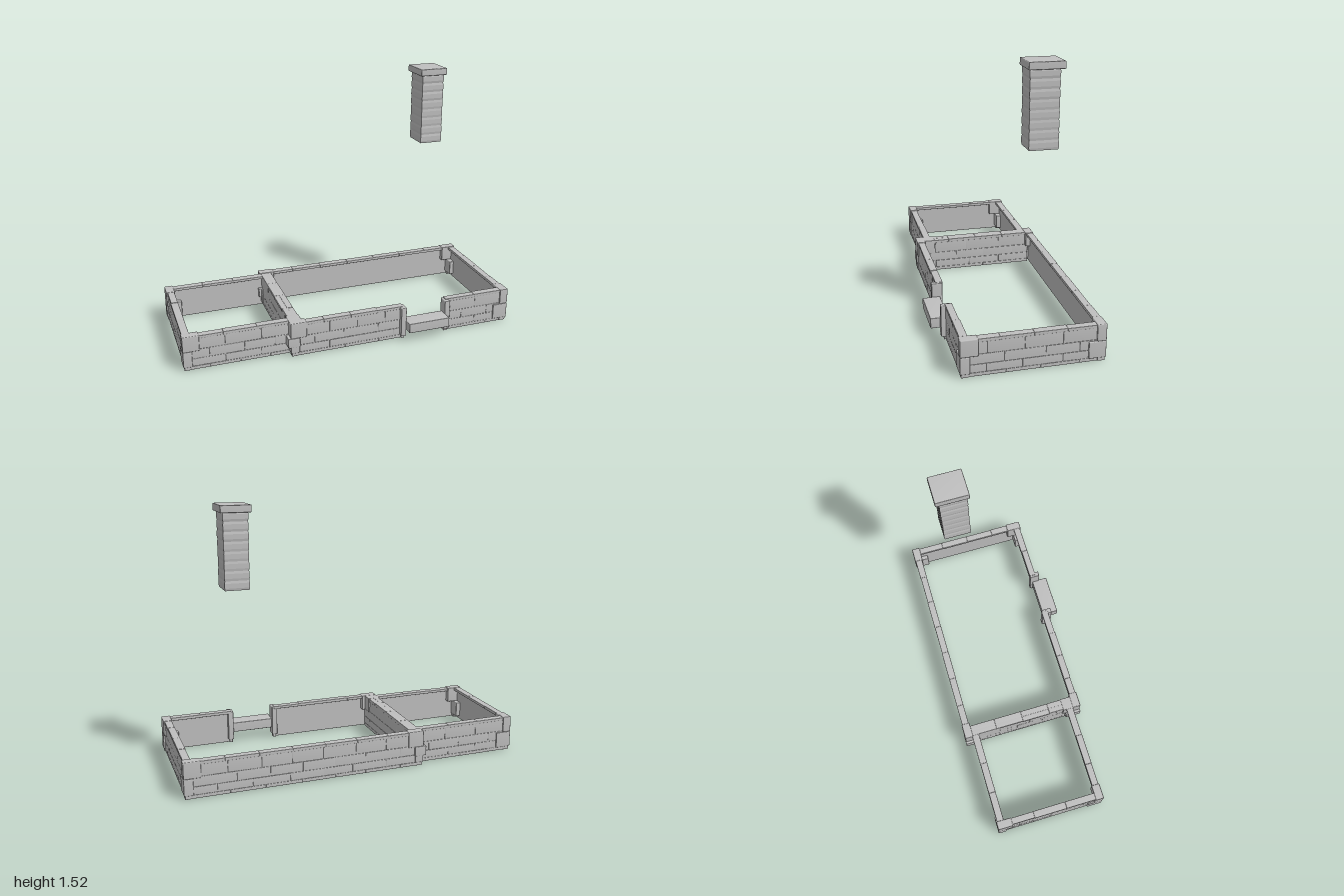
import * as THREE from 'three';
import { RoundedBoxGeometry } from 'three/addons/geometries/RoundedBoxGeometry.js';

const stone = new THREE.MeshStandardMaterial({ color: 0xc0c0c0, side: THREE.DoubleSide });
stone.name = 'grey stone';

// Seeded jitter in the range 0..1
let seed = 7;
const rand = () => (seed = (seed * 16807) % 2147483647) / 2147483647;

// Rounded block whose normals lean outward, so its faces read as slightly bulged
function pillow(w, h, d, radius) {
  const geometry = new RoundedBoxGeometry(w, h, d, 1, radius);
  const { position, normal } = geometry.attributes;
  const n = new THREE.Vector3();
  for (let i = 0; i < position.count; i++) {
    n.fromBufferAttribute(normal, i);
    n.x += 0.1 * position.getX(i) / w;
    n.y += 0.1 * position.getY(i) / h;
    n.z += 0.1 * position.getZ(i) / d;
    n.normalize();
    normal.setXYZ(i, n.x, n.y, n.z);
  }
  return geometry;
}

// Block given by its limits on each axis; radius 0 makes a plain sheet
function block(parent, name, x0, x1, y0, y1, z0, z1, radius = 0.002) {
  const w = Math.abs(x1 - x0), h = y1 - y0, d = Math.abs(z1 - z0);
  const geometry = radius > 0 ? pillow(w, h, d, radius) : new THREE.BoxGeometry(w, h, d);
  const mesh = new THREE.Mesh(geometry, stone);
  mesh.name = name;
  mesh.position.set((x0 + x1) / 2, (y0 + y1) / 2, (z0 + z1) / 2);
  parent.add(mesh);
}

// Wall along an axis: brick courses outside, plain sheet inside, coping on top.
// face is the outer plane, side the direction it looks in.
function wall(parent, name, axis, from, to, face, side, copingDepth = 0.04) {
  const group = new THREE.Group();
  group.name = name;
  const put = (part, a, b, y0, y1, out, inn, radius) => {
    const p = face - side * out, q = face - side * inn;
    if (axis === 'x') block(group, part, a, b, y0, y1, p, q, radius);
    else block(group, part, p, q, y0, y1, a, b, radius);
  };
  put('innerFace', from, to, 0.005, 0.195, 0.004, 0.017, 0);
  const rows = [[0, 0.02], [0.02, 0.066], [0.066, 0.122], [0.122, 0.192]];
  rows.forEach(([y0, y1], row) => {
    let a = from, length = row % 2 ? 0.2 : 0.11;
    while (a < to - 0.001) {
      let b = a + length;
      if (to - b < 0.06) b = to;
      put('brick', a, b, y0, y1, 0.002 + rand() * 0.001, 0.016);
      a = b;
      length = 0.17 + rand() * 0.05;
    }
  });
  const count = Math.max(1, Math.round((to - from) / 0.18));
  for (let i = 0; i < count; i++) {
    const step = (to - from) / count;
    put('copingStone', from + i * step, from + (i + 1) * step, 0.19, 0.206 + rand() * 0.003,
      -0.002 + rand() * 0.003, copingDepth + rand() * 0.004);
  }
  parent.add(group);
}

// Two corner blocks, one long along x and one long along z
function quoin(parent, x, z, dx, dz, topAlongX) {
  const group = new THREE.Group();
  group.name = 'cornerStones';
  const long = 0.095, short = 0.052;
  const tier = (y0, y1, alongX) => block(group, 'cornerStone',
    x, x + dx * (alongX ? long : short), y0, y1,
    z, z + dz * (alongX ? short : long), 0.005);
  tier(0.02, 0.115, !topAlongX);
  tier(0.115, 0.211, topAlongX);
  block(group, 'cornerFoot', x + dx * 0.006, x + dx * 0.045, 0, 0.025,
    z + dz * 0.006, z + dz * 0.045);
  parent.add(group);
}

// Hollow chimney shaft with gently bulging courses
function chimney(parent) {
  const group = new THREE.Group();
  group.name = 'chimney';
  const points = [], courses = 8, y0 = 1.067, y1 = 1.485;
  const h = (y1 - y0) / courses;
  for (let i = 0; i < courses; i++) {
    const y = y0 + i * h, bulge = 1 + rand() * 0.02;
    points.push(new THREE.Vector2(0.975, y));
    points.push(new THREE.Vector2(bulge, y + h * 0.25));
    points.push(new THREE.Vector2(bulge, y + h * 0.75));
  }
  points.push(new THREE.Vector2(0.975, y1));
  const geometry = new THREE.LatheGeometry(points, 4, Math.PI / 4).toNonIndexed();
  geometry.scale(0.068 * Math.SQRT2, 1, 0.079 * Math.SQRT2);
  geometry.computeVertexNormals();
  const shaft = new THREE.Mesh(geometry, stone);
  shaft.name = 'chimneyShaft';
  shaft.position.set(0.637, 0, -0.153);
  group.add(shaft);
  block(group, 'chimneyCap', 0.554, 0.722, 1.48, 1.52, -0.255, -0.063, 0.004);
  parent.add(group);
}

export function createModel() {
  seed = 7;
  const model = new THREE.Group();
  model.name = 'stoneHouseFoundation';

  // Large room
  wall(model, 'backWall', 'x', -0.36, 0.96, -0.417, -1);
  wall(model, 'frontWallLeftOfDoor', 'x', -0.36, 0.3, 0.344, 1);
  wall(model, 'frontWallRightOfDoor', 'x', 0.575, 0.96, 0.344, 1);
  wall(model, 'sideWall', 'z', -0.39, 0.32, 0.99, 1);

  // Dividing wall, faced on both sides
  wall(model, 'dividerOuter', 'z', -0.39, 0.32, -0.388, -1, 0.033);
  wall(model, 'dividerInner', 'z', -0.39, 0.32, -0.321, 1, 0.033);

  // Small room
  wall(model, 'smallBackWall', 'x', -0.96, -0.385, -0.375, -1);
  wall(model, 'smallFrontWall', 'x', -0.96, -0.385, 0.298, 1);
  wall(model, 'smallSideWall', 'z', -0.35, 0.27, -0.993, -1);

  // Corners: x, z, inward directions, upper stone along x
  quoin(model, 0.998, 0.35, -1, -1, false);
  quoin(model, 0.998, -0.422, -1, 1, true);
  quoin(model, -0.394, 0.35, 1, -1, true);
  quoin(model, -0.394, -0.422, 1, 1, true);
  quoin(model, -1, 0.304, 1, -1, true);
  quoin(model, -1, -0.38, 1, 1, false);
  // Junction stones that reach past the divider
  block(model, 'junctionStone', -0.41, -0.34, 0.06, 0.118, 0.255, 0.352);
  block(model, 'junctionStone', -0.394, -0.318, 0.118, 0.209, 0.235, 0.345);
  block(model, 'junctionStone', -0.41, -0.34, 0.06, 0.118, -0.424, -0.335);

  // Doorway posts and step
  for (const side of [-1, 1]) {
    const x = 0.437 + side * 0.141;
    block(model, 'doorPost', x - 0.017, x + 0.017, 0.02, 0.204, 0.305, 0.368, 0.005);
    block(model, 'doorPostFoot', x - 0.01, x + 0.01, 0, 0.025, 0.315, 0.35);
  }
  block(model, 'doorStep', 0.309, 0.567, 0.063, 0.123, 0.32, 0.421, 0.004);

  chimney(model);
  return model;
}
